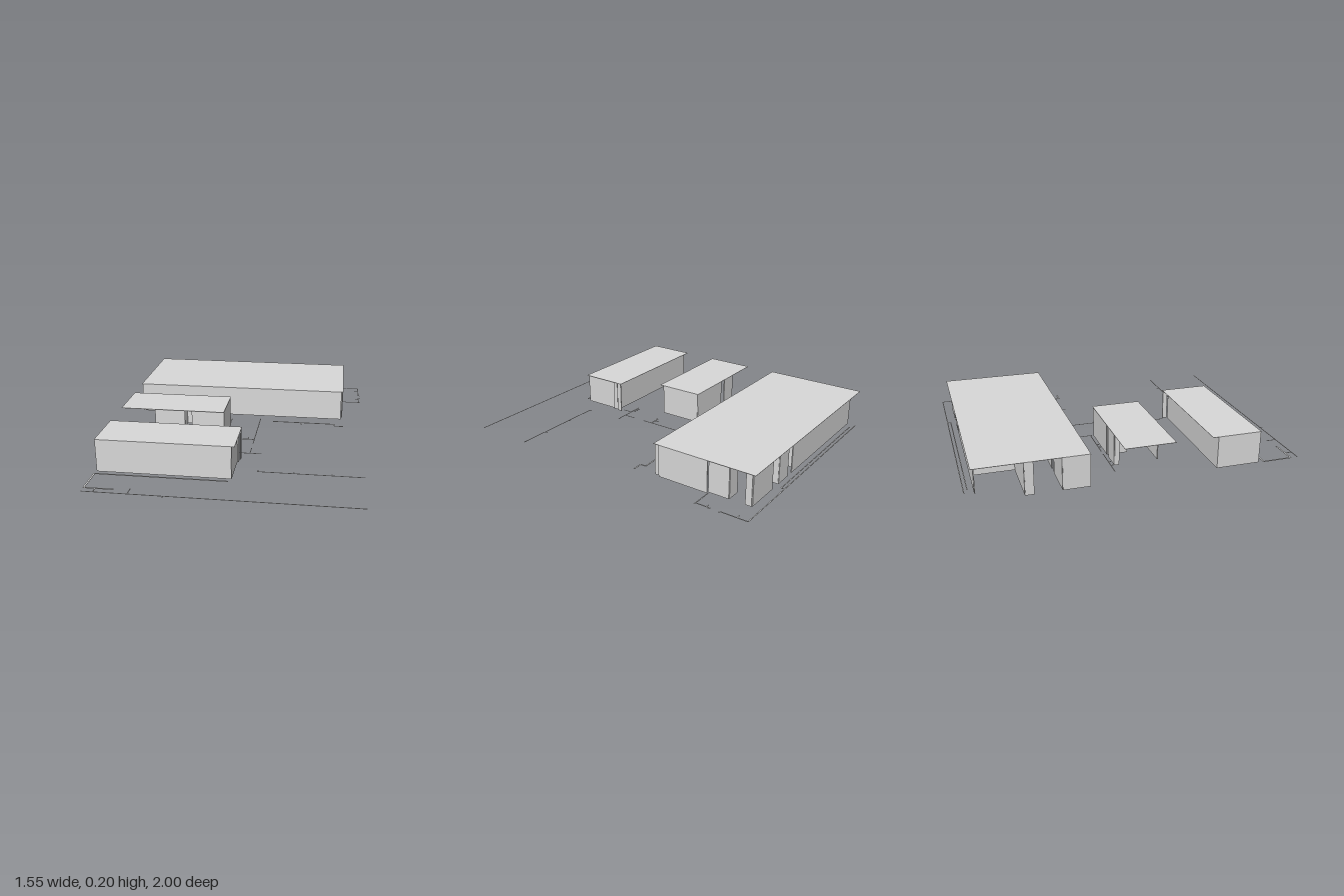
import * as THREE from 'three';

const H = 0.2;   // wall height
const T = 0.006; // wall thickness

export function createModel() {
  const model = new THREE.Group();
  const grey = new THREE.MeshStandardMaterial({ color: 0xd8d8d8 });
  grey.name = 'plain grey';

  const block = (parent, name, x1, z1, x2, z2, y1, y2) => {
    const mesh = new THREE.Mesh(new THREE.BoxGeometry(x2 - x1, y2 - y1, z2 - z1), grey);
    mesh.position.set((x1 + x2) / 2, (y1 + y2) / 2, (z1 + z2) / 2);
    mesh.name = name;
    parent.add(mesh);
  };

  // Straight runs [x1, z1, x2, z2], each along x or z, given by their centre line
  const runs = (parent, name, list, height, t) => {
    for (const [x1, z1, x2, z2] of list) {
      const alongX = Math.abs(x2 - x1) > Math.abs(z2 - z1);
      const px = alongX ? 0 : t / 2, pz = alongX ? t / 2 : 0;
      block(parent, name, x1 - px, z1 - pz, x2 + px, z2 + pz, 0, height);
    }
  };

  const building = (name, [x1, z1, x2, z2], walls) => {
    const group = new THREE.Group();
    group.name = name;
    block(group, 'flatRoof', x1, z1, x2, z2, H - 0.002, H);
    runs(group, 'wall', walls, H - 0.002, T);
    model.add(group);
  };

  // Large rear building: two rows of rooms beside a corridor
  const rooms = [
    [-0.773, -0.315, 0.63, -0.315],
    [0.627, -0.345, 0.627, -0.315], [0.638, -0.67, 0.638, -0.345], [0.624, -0.8, 0.624, -0.67],
    [0.622, -0.938, 0.622, -0.9],
    [-0.67, -0.94, 0.165, -0.94], [0.215, -0.94, 0.325, -0.94], [0.4, -0.94, 0.62, -0.94],
    [-0.77, -0.47, -0.77, -0.315], [-0.77, -0.68, -0.77, -0.63],
    [-0.77, -0.68, -0.46, -0.68], [-0.4, -0.68, -0.12, -0.68], [-0.05, -0.68, 0.12, -0.68],
    [-0.77, -0.47, -0.56, -0.47], [-0.5, -0.47, -0.34, -0.47], [-0.28, -0.47, -0.13, -0.47],
    [0.46, -0.68, 0.62, -0.68], [0.46, -0.74, 0.46, -0.68], [0.54, -0.8, 0.622, -0.8],
    [0.2, -0.68, 0.3, -0.68], [0.56, -0.94, 0.56, -0.9],
  ];
  for (const x of [-0.54, -0.34, -0.13]) rooms.push([x, -0.47, x, -0.315]);
  for (const x of [-0.45, -0.2, 0.1]) rooms.push([x, -0.94, x, -0.68]);
  for (const x of [0.215, 0.325, 0.4]) rooms.push([x, -0.94, x, -0.905]);
  // Short returns at the corridor doors
  for (const x of [-0.46, -0.4, -0.12, -0.05]) rooms.push([x, -0.68, x, -0.64]);
  building('rearBuilding', [-0.777, -0.965, 0.643, -0.31], rooms);

  // Small middle building, open under the left end of its roof
  building('middleBuilding', [-0.773, -0.115, -0.108, 0.192], [
    [-0.56, -0.108, -0.45, -0.108], [-0.41, -0.108, -0.115, -0.108],
    [-0.113, -0.11, -0.113, 0.165],
    [-0.56, 0.162, -0.365, 0.162], [-0.32, 0.162, -0.115, 0.162],
    [-0.56, -0.108, -0.56, -0.08], [-0.41, -0.108, -0.41, 0.02], [-0.25, 0.03, -0.25, 0.162],
  ]);

  // Front building with cross walls and a recessed rear wall
  building('frontBuilding', [-0.774, 0.418, 0.039, 0.724], [
    [-0.772, 0.72, 0.02, 0.72], [-0.772, 0.456, 0.02, 0.456], [-0.769, 0.456, -0.769, 0.72],
    [0.018, 0.49, 0.018, 0.72], [0.034, 0.422, 0.034, 0.452], [0.026, 0.46, 0.026, 0.49],
    [-0.08, 0.456, -0.08, 0.72], [-0.34, 0.456, -0.34, 0.72],
  ]);

  // Low outlines lying on the ground between the buildings
  const ground = new THREE.Group();
  ground.name = 'groundOutlines';
  model.add(ground);
  runs(ground, 'rearOutline', [
    [-0.66, -0.997, 0.76, -0.997], [-0.62, -0.976, 0.36, -0.976], [0.36, -0.997, 0.36, -0.976],
    [0.762, -0.997, 0.762, -0.83], [0.762, -0.828, 0.775, -0.828], [0.735, -0.93, 0.76, -0.93],
    [0.762, -0.77, 0.762, -0.68], [0.74, -0.745, 0.76, -0.745], [0.76, -0.765, 0.775, -0.765],
    [0.64, -0.677, 0.775, -0.677],
  ], 0.002, 0.006);
  runs(ground, 'middleOutline', [
    [-0.64, -0.131, -0.4, -0.131], [-0.36, -0.131, -0.12, -0.131], [-0.116, -0.22, -0.116, -0.12],
    [0.08, -0.245, 0.08, 0.195], [0.04, 0.1, 0.04, 0.13], [0.08, 0.275, 0.08, 0.348],
    [0.012, 0.352, 0.152, 0.352], [0.014, 0.352, 0.014, 0.415],
  ], 0.002, 0.005);
  runs(ground, 'middleBorder', [
    [0.17, -0.208, 0.585, -0.208], [0.366, -0.208, 0.366, -0.18], [0.587, -0.208, 0.587, -0.175],
    [0.587, -0.174, 0.65, -0.174], [0.005, 0.13, 0.08, 0.13], [0.007, 0.13, 0.007, 0.142],
    [-0.07, 0.354, 0.012, 0.354],
  ], 0.002, 0.009);
  // Short spurs at openings
  for (const x of [-0.562, -0.512, -0.3, -0.26]) runs(ground, 'spur', [[x, -0.131, x, -0.115]], 0.002, 0.008);
  for (const x of [-0.05, -0.03, -0.01]) runs(ground, 'spur', [[x, 0.33, x, 0.352]], 0.002, 0.005);
  for (const x of [0.157, 0.367, 0.587]) runs(ground, 'spur', [[x, 0.59, x, 0.608]], 0.002, 0.006);
  runs(ground, 'frontOutline', [
    [0.155, 0.608, 0.775, 0.608], [-0.775, 0.982, 0.775, 0.982],
    [-0.708, 0.938, -0.708, 0.98], [-0.515, 0.92, -0.515, 0.98], [-0.315, 0.98, -0.315, 0.999],
  ], 0.002, 0.005);
  runs(ground, 'frontBorder', [
    [-0.775, 0.757, 0.007, 0.757], [-0.775, 0.757, -0.775, 0.938], [-0.775, 0.938, -0.605, 0.938],
  ], 0.002, 0.01);

  return model;
}
